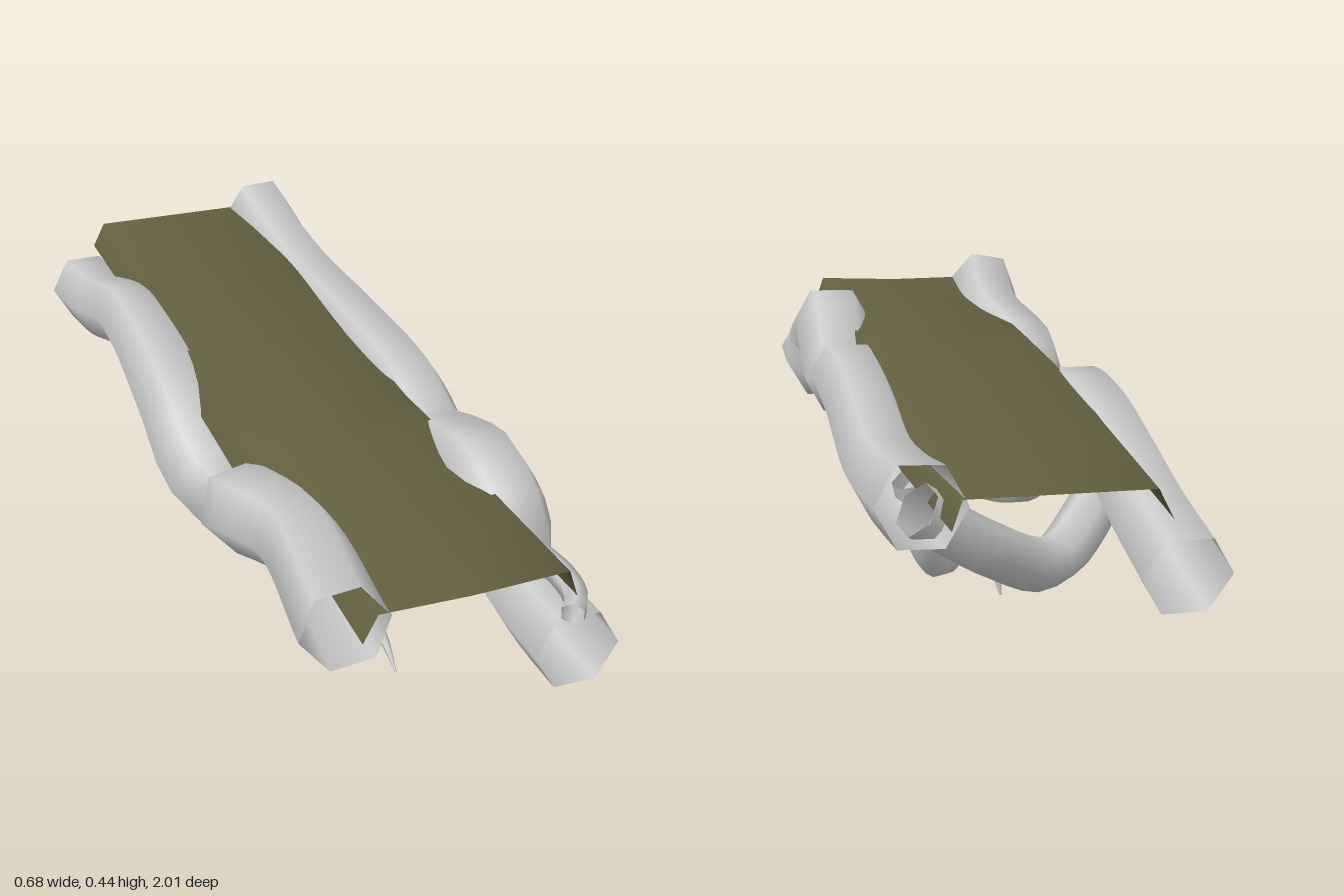
import * as THREE from 'three';

const bark = new THREE.MeshStandardMaterial({ color: 0xcccccc, side: THREE.DoubleSide });
const moss = new THREE.MeshStandardMaterial({ color: 0x635f3f, side: THREE.DoubleSide });

// Six-sided smooth tube through points [x, y, z, radius]; the ends stay open.
function root(name, pts, steps) {
  const curve = new THREE.CatmullRomCurve3(pts.map(p => new THREE.Vector3(p[0], p[1], p[2])));
  const sides = 6;
  const geo = new THREE.TubeGeometry(curve, steps, 1, sides);
  const pos = geo.attributes.position;
  const v = new THREE.Vector3();
  for (let i = 0; i <= steps; i++) {
    const u = i / steps;
    const c = curve.getPointAt(u);
    // radius blends between neighbouring control points
    const t = curve.getUtoTmapping(u) * (pts.length - 1);
    const k = Math.min(Math.floor(t), pts.length - 2);
    const r = THREE.MathUtils.lerp(pts[k][3], pts[k + 1][3], t - k);
    for (let j = 0; j <= sides; j++) {
      const n = i * (sides + 1) + j;
      v.fromBufferAttribute(pos, n).sub(c).multiplyScalar(r).add(c);
      pos.setXYZ(n, v.x, v.y, v.z);
    }
  }
  const mesh = new THREE.Mesh(geo, bark);
  mesh.name = name;
  return mesh;
}

// Walkway lofted from cross-sections [z, left x, left y, middle y, right x, right y]
function walkway() {
  const rows = [
    [-1, -0.19, 0.375, 0.375, 0.175, 0.375],
    [-0.6, -0.19, 0.385, 0.375, 0.21, 0.37],
    [-0.2, -0.2, 0.39, 0.38, 0.21, 0.375],
    [0.2, -0.2, 0.38, 0.38, 0.2, 0.385],
    [0.35, -0.2, 0.375, 0.38, 0.21, 0.385],
    [0.65, -0.17, 0.385, 0.38, 0.2, 0.395],
    [0.97, -0.17, 0.38, 0.38, 0.22, 0.39],
  ];
  const pos = [], idx = [];
  rows.forEach(([z, lx, ly, my, rx, ry], i) => {
    const section = [[lx - 0.03, ly - 0.06], [lx, ly], [0.02, my], [rx, ry], [rx + 0.02, ry - 0.06]];
    section.forEach(([x, y]) => pos.push(x, y, z));
    if (i === 0) return;
    for (let j = 0; j < 4; j++) {
      const a = (i - 1) * 5 + j, b = a + 5;
      idx.push(a, b, a + 1, b, b + 1, a + 1);
    }
  });
  const geo = new THREE.BufferGeometry();
  geo.setAttribute('position', new THREE.Float32BufferAttribute(pos, 3));
  geo.setIndex(idx);
  geo.computeVertexNormals();
  const mesh = new THREE.Mesh(geo, moss);
  mesh.name = 'walkway';
  return mesh;
}

export function createModel() {
  const g = new THREE.Group();
  g.name = 'rootBridge';
  g.add(walkway());

  // Main roots carrying the walkway on both sides
  g.add(root('leftMainRoot', [
    [0.25, 0.2, 0.97, 0.09], [0.25, 0.197, 0.8, 0.09], [0.25, 0.22, 0.68, 0.09],
    [0.245, 0.3, 0.65, 0.1], [0.24, 0.358, 0.55, 0.1], [0.245, 0.325, 0.4, 0.095],
    [0.255, 0.285, 0.25, 0.085], [0.255, 0.33, 0.08, 0.09], [0.255, 0.335, -0.2, 0.085],
    [0.26, 0.312, -0.6, 0.085], [0.255, 0.33, -0.8, 0.085], [0.25, 0.365, -1, 0.088],
  ], 40));
  g.add(root('rightMainRoot', [
    [-0.25, 0.2, -1, 0.09], [-0.245, 0.235, -0.8, 0.088], [-0.235, 0.3, -0.58, 0.085],
    [-0.24, 0.32, -0.35, 0.088], [-0.24, 0.285, -0.08, 0.1], [-0.22, 0.2, 0.06, 0.11],
    [-0.17, 0.15, 0.12, 0.11], [-0.18, 0.18, 0.23, 0.1], [-0.23, 0.27, 0.36, 0.1],
    [-0.195, 0.33, 0.6, 0.09], [-0.235, 0.362, 0.97, 0.09],
  ], 40));

  // Smaller roots hanging and crossing below
  g.add(root('crossRoot', [
    [0.24, 0.32, -0.88, 0.055], [0.09, 0.21, -0.81, 0.055], [-0.05, 0.135, -0.71, 0.055],
    [-0.16, 0.19, -0.59, 0.055], [-0.24, 0.29, -0.5, 0.05],
  ], 16));
  g.add(root('longHangingRoot', [
    [0.24, 0.3, 0.6, 0.035], [0.13, 0.21, 0.56, 0.035], [0.03, 0.085, 0.42, 0.033],
    [0.0, 0.13, 0.2, 0.032], [0.02, 0.1, 0, 0.03], [0.05, 0.07, -0.2, 0.03],
    [0.1, 0.045, -0.4, 0.03], [0.16, 0.09, -0.52, 0.03], [0.21, 0.28, -0.57, 0.035],
  ], 36));
  g.add(root('middleRoot', [
    [-0.2, 0.29, 0.5, 0.05], [-0.05, 0.26, 0.42, 0.045], [0.1, 0.21, 0.25, 0.045],
    [0.175, 0.115, 0.06, 0.042], [0.18, 0.11, -0.16, 0.04], [0.21, 0.2, -0.25, 0.04],
    [0.24, 0.31, -0.28, 0.04],
  ], 28));
  g.add(root('upperBranchRoot', [
    [0.17, 0.12, 0.0, 0.04], [0.11, 0.18, -0.2, 0.04], [0.04, 0.22, -0.42, 0.036],
    [-0.01, 0.26, -0.6, 0.034], [-0.03, 0.33, -0.74, 0.03],
  ], 16));
  g.add(root('frontCurledRoot', [
    [-0.07, 0.32, 0.78, 0.018], [-0.09, 0.24, 0.76, 0.02], [-0.115, 0.15, 0.74, 0.018],
    [-0.08, 0.095, 0.68, 0.016], [-0.03, 0.085, 0.6, 0.014], [-0.018, 0.065, 0.63, 0.011],
    [-0.015, 0.022, 0.7, 0.002],
  ], 24));
  g.add(root('frontRootTip', [
    [0.25, 0.29, 0.7, 0.03], [0.27, 0.295, 0.85, 0.028], [0.255, 0.3, 0.94, 0.026],
    [0.225, 0.3, 0.985, 0.025],
  ], 10));
  g.add(root('backRootTip', [
    [-0.03, 0.14, -0.66, 0.025], [0.02, 0.1, -0.56, 0.02], [0.018, 0.055, -0.53, 0.012],
    [0.01, 0.002, -0.53, 0.002],
  ], 10));
  return g;
}
